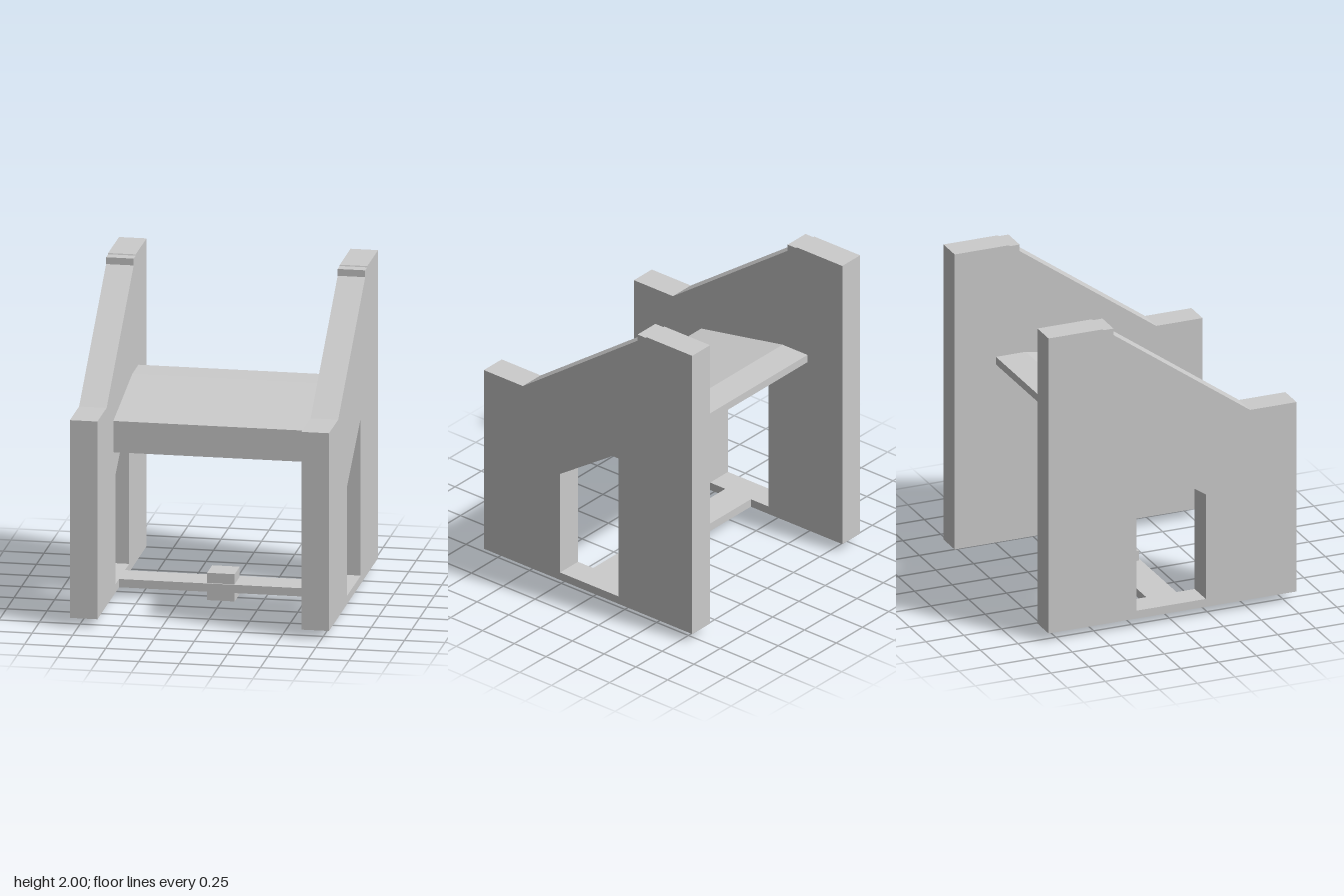
import * as THREE from 'three';

export function createModel() {
  const group = new THREE.Group();
  const mat = new THREE.MeshStandardMaterial({ color: 0xcccccc, flatShading: true });

  const add = (name, geo) => {
    const mesh = new THREE.Mesh(geo, mat);
    mesh.name = name;
    group.add(mesh);
  };
  const toPoints = (pts) => pts.map(([z, y]) => new THREE.Vector2(-z, y));

  // Extrudes a side profile, given as [z, y] points, from x0 to x1.
  // Outlines run clockwise and holes the other way, so all walls face out.
  const profile = (pts, x0, x1, hole) => {
    const shape = new THREE.Shape(toPoints(pts));
    if (hole) shape.holes.push(new THREE.Path(toPoints(hole)));
    const geo = new THREE.ExtrudeGeometry(shape, { depth: x1 - x0, bevelEnabled: false });
    return geo.rotateY(Math.PI / 2).translate(x0, 0, 0);
  };
  const box = (w, h, d, x, y, z) => new THREE.BoxGeometry(w, h, d).translate(x, y, z);

  // Side panels with sloped tops, a shallow step near the peak and a slanted window
  const panel = [[0.82, 0.058], [0.82, 1.305], [0.513, 1.305], [-0.39, 1.95], [-0.39, 1.993],
    [-0.457, 1.993], [-0.46, 2], [-0.82, 2], [-0.82, 0.058]];
  const opening = [[0.22, 0.11], [-0.24, 0.11], [-0.24, 1.105], [0.22, 0.798]];
  // Small cleat in the upper corner of each window
  const cleat = [[-0.12, 1.03], [-0.2, 1.08], [-0.24, 1.08], [-0.24, 1.03]];
  for (const [side, x0] of [['left', 0.628], ['right', -0.8]]) {
    add(side + 'Panel', profile(panel, x0, x0 + 0.17, opening));
    const cx = side === 'left' ? 0.64 : -0.74;
    add(side + 'Cleat', profile(cleat, cx, cx + 0.1));
  }

  // Wedge seat: level at the back, sloping down to a deep front edge
  add('seat', profile([[0.29, 0.963], [0.29, 1.16], [-0.35, 1.28], [-0.547, 1.28], [-0.547, 1.23]], -0.63, 0.63));

  // Floor crossbar and the block at its middle
  add('crossbar', box(1.26, 0.052, 0.2, 0, 0.084, 0));
  add('centreBlock', box(0.17, 0.172, 0.17, -0.004, 0.088, 0.004));

  return group;
}
